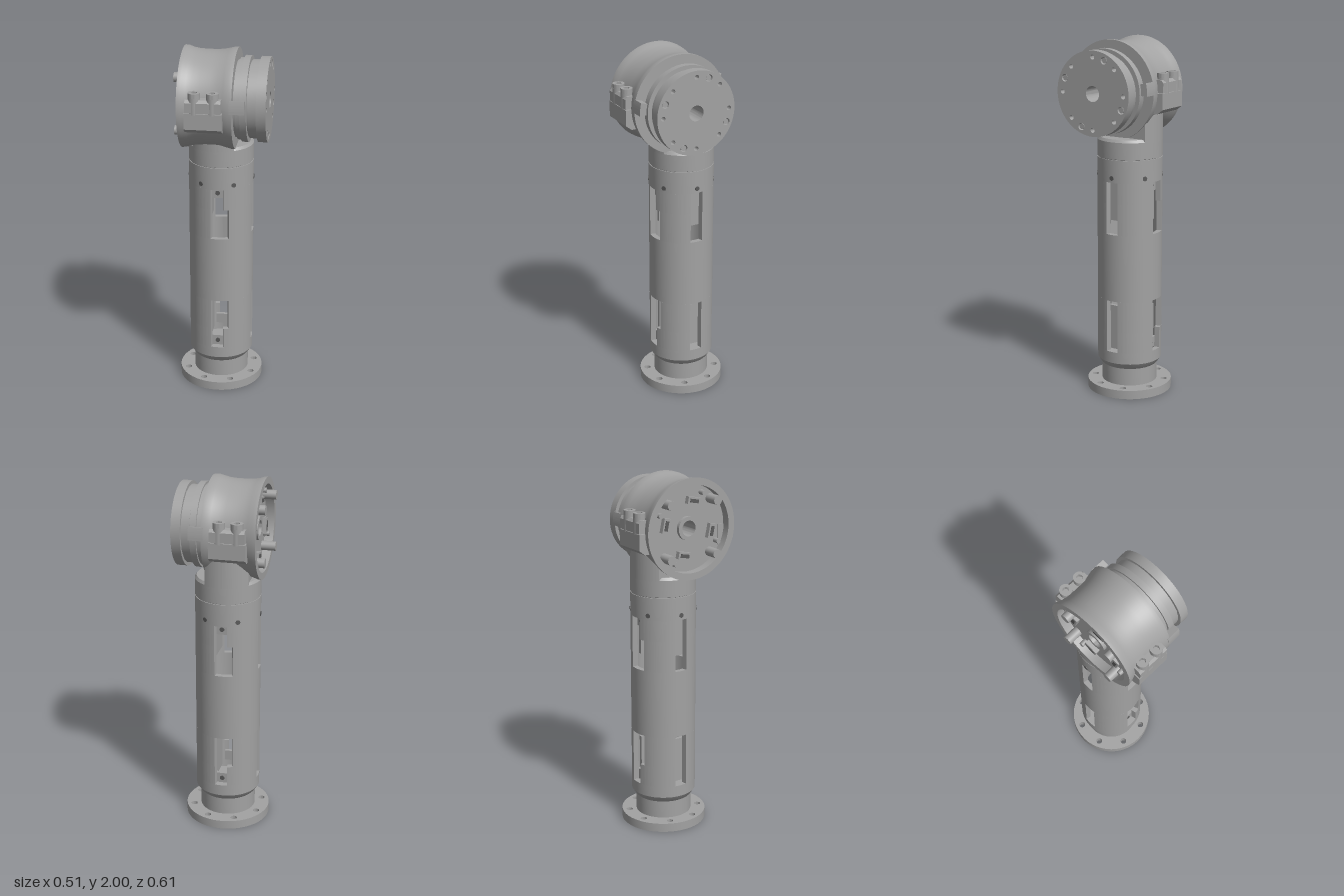
import * as THREE from 'three';
import { toCreasedNormals } from 'three/addons/utils/BufferGeometryUtils.js';

const CX = -0.017, CZ = -0.06; // column axis
const HY = 1.725;              // height of the joint axis, which runs along x

export function createModel() {
  const root = new THREE.Group();
  const metal = new THREE.MeshStandardMaterial({ color: 0xa2a2a2 });
  metal.name = 'grey metal';
  const dark = new THREE.MeshStandardMaterial({ color: 0x5a5a5a });
  dark.name = 'dark screw';

  const add = (name, geo, x = 0, y = 0, z = 0, mat = metal, parent = root) => {
    const mesh = new THREE.Mesh(geo, mat);
    mesh.name = name;
    mesh.position.set(x, y, z);
    parent.add(mesh);
    return mesh;
  };
  const extrude = (shape, depth, seg = 32) => toCreasedNormals(
    new THREE.ExtrudeGeometry(shape, { depth, bevelEnabled: false, curveSegments: seg }), 0.5);
  const upright = (shape, depth, seg) => extrude(shape, depth, seg).rotateX(-Math.PI / 2);
  const alongX = (shape, depth, seg) => extrude(shape, depth, seg).rotateY(Math.PI / 2);
  const lathe = (pts, seg = 72) => toCreasedNormals(
    new THREE.LatheGeometry(pts.map(p => new THREE.Vector2(p[0], p[1])), seg), 0.5);
  const disc = r => new THREE.Shape().absarc(0, 0, r, 0, Math.PI * 2, false);
  const hole = (shape, r, x = 0, y = 0) =>
    shape.holes.push(new THREE.Path().absarc(x, y, r, 0, Math.PI * 2, true));
  const sector = (r0, r1, a0, a1) => {
    const s = new THREE.Shape();
    s.absarc(0, 0, r1, a0, a1, false);
    s.absarc(0, 0, r0, a1, a0, true);
    s.closePath();
    return s;
  };

  // Base flange with centre bore, six inner and eight outer bolt holes
  const flange = disc(0.24);
  hole(flange, 0.065);
  for (let i = 0; i < 6; i++) {
    const a = i * Math.PI / 3;
    hole(flange, 0.03, 0.12 * Math.cos(a), 0.12 * Math.sin(a));
  }
  for (let i = 0; i < 8; i++) {
    const a = (i + 0.5) * Math.PI / 4;
    hole(flange, 0.018, 0.2 * Math.cos(a), 0.2 * Math.sin(a));
  }
  add('baseFlange', upright(flange, 0.05, 24), CX, 0, CZ);
  add('neck', lathe([[0, 0.049], [0.157, 0.049], [0.157, 0.15], [0.162, 0.155],
    [0.182, 0.185], [0.182, 0.195], [0, 0.195]]), CX, 0, CZ);

  // Column tube, built in levels with four window openings
  const R = 0.182, RI = 0.152, W = 0.2, STEP = 0.37;
  const column = new THREE.Group();
  column.name = 'columnTube';
  column.position.set(CX, 0, CZ);
  root.add(column);
  const fullRing = (y0, y1) => {
    const s = disc(R);
    hole(s, RI);
    add('tubeRing', upright(s, y1 - y0, 48), 0, y0, 0, metal, column);
  };
  const windowLevel = (y0, y1, wide) => {
    for (let k = 0; k < 4; k++) {
      const start = k * Math.PI / 2 + (wide && k % 2 ? STEP : W);
      const end = (k + 1) * Math.PI / 2 - W;
      add('tubeWall', upright(sector(RI, R, start, end), y1 - y0, 14), 0, y0, 0, metal, column);
    }
  };
  fullRing(0.19, 0.25);
  windowLevel(0.25, 0.37, false);
  windowLevel(0.37, 0.55, true);
  fullRing(0.55, 0.935);
  windowLevel(0.935, 1.11, true);
  windowLevel(1.11, 1.23, false);
  fullRing(1.23, 1.356);

  // Inner rails and screw tabs behind the windows
  for (const y of [0.36, 1.12]) for (const s of [-1, 1])
    add('innerRail', new THREE.BoxGeometry(0.02, 0.26, 0.22), s * 0.07, y, 0, metal, column);
  for (const y of [0.28, 1.2]) for (const s of [-1, 1]) {
    add('screwTab', new THREE.BoxGeometry(0.1, 0.06, 0.02), 0, y, s * 0.135, metal, column);
    add('tabScrew', new THREE.CylinderGeometry(0.013, 0.013, 0.006, 16).rotateX(Math.PI / 2),
      0, y, s * 0.147, dark, column);
  }
  // Ring of small screws below the collar
  for (let i = 0; i < 6; i++) {
    const a = i * Math.PI / 3;
    add('collarScrew', new THREE.CylinderGeometry(0.013, 0.013, 0.006, 16)
      .rotateZ(Math.PI / 2).rotateY(a), R * Math.cos(a), 1.255, -R * Math.sin(a), dark, column);
  }

  // Collar, and the part of it that rises into the joint housing
  add('collar', lathe([[0, 1.35], [0.178, 1.35], [0.178, 1.36], [0.182, 1.362],
    [0.182, 1.455], [0.172, 1.47], [0, 1.47]]), CX, 0, CZ);
  const b0 = Math.acos(0.092 / R), b1 = Math.acos(-0.14 / R);
  const rise = new THREE.Shape();
  rise.absarc(0, 0, R, b0, b1, false);
  rise.absarc(0, 0, R, -b1, -b0, false);
  rise.closePath();
  add('collarRise', upright(rise, 0.15), CX, 1.45, CZ);

  // Joint housing: waisted drum with a recessed end and a through bore
  const head = new THREE.Group();
  head.name = 'jointHead';
  head.position.y = HY;
  root.add(head);
  const turned = (name, pts) => add(name, lathe(pts, 96).rotateZ(-Math.PI / 2), 0, 0, 0, metal, head);
  turned('housing', [[0.043, -0.16], [0.24, -0.16], [0.24, -0.21], [0.278, -0.21],
    [0.276, -0.19], [0.267, -0.165], [0.261, -0.13], [0.259, -0.09], [0.259, -0.04],
    [0.262, 0], [0.27, 0.035], [0.276, 0.06], [0.276, 0.082], [0.043, 0.082], [0.043, -0.16]]);

  // Output discs
  turned('outputRings', [[0.043, 0.08], [0.21, 0.08], [0.21, 0.095], [0.222, 0.095],
    [0.222, 0.119], [0.234, 0.119], [0.234, 0.154], [0.205, 0.154], [0.205, 0.16],
    [0.213, 0.16], [0.213, 0.207], [0.043, 0.207], [0.043, 0.08]]);
  const plate = disc(0.232);
  hole(plate, 0.043);
  const bigAngles = [];
  for (let i = 0; i < 8; i++) {
    const a = i * Math.PI / 4;
    hole(plate, 0.013, 0.197 * Math.cos(a), 0.197 * Math.sin(a));
    if (i % 2) bigAngles.push(a + 0.4);
  }
  for (const a of bigAngles) hole(plate, 0.02, 0.197 * Math.cos(a), 0.197 * Math.sin(a));
  add('outputPlate', alongX(plate, 0.052, 40), 0.206, 0, 0, metal, head);
  for (const a of bigAngles)
    add('plateScrew', new THREE.CylinderGeometry(0.015, 0.015, 0.045, 16).rotateZ(Math.PI / 2),
      0.23, 0.197 * Math.sin(a), -0.197 * Math.cos(a), metal, head);

  // Side tabs, clamp lugs and bolts on both sides
  const hex = new THREE.Shape();
  hex.absarc(0, 0, 0.033, 0, Math.PI * 2, false);
  const socket = new THREE.Path();
  for (let i = 0; i < 6; i++) {
    const a = -i * Math.PI / 3;
    socket[i ? 'lineTo' : 'moveTo'](0.018 * Math.cos(a), 0.018 * Math.sin(a));
  }
  socket.closePath();
  hex.holes.push(socket);
  const block = pts => new THREE.Shape(pts.map(p => new THREE.Vector2(p[0], p[1])));
  for (const s of [1, -1]) {
    const mid = s > 0 ? Math.PI : 0; // shape x runs towards -z
    add('sideTab', alongX(sector(0.24, 0.278, mid + (s > 0 ? -0.24 : -0.02),
      mid + (s > 0 ? 0.02 : 0.24)), 0.08, 8), 0.07, 0, 0, metal, head);
    const lower = [[0.2, -0.115], [0.27, -0.115], [0.303, -0.09], [0.303, -0.003], [0.2, -0.003]];
    const upper = [[0.2, 0], [0.303, 0], [0.303, 0.055], [0.29, 0.07], [0.2, 0.07]];
    const flip = pts => block(pts.map(p => [-s * p[0], p[1]]));
    add('lowerLug', alongX(flip(lower), 0.2), -0.165, 0, 0, metal, head);
    add('upperLug', alongX(flip(upper), 0.19), -0.16, 0, 0, metal, head);
    for (const x of [-0.114, -0.017]) {
      add('boltSeat', new THREE.CylinderGeometry(0.033, 0.033, 0.09, 28), x, 0.035, s * 0.272, metal, head);
      add('boltHead', upright(hex, 0.025, 20), x, 0.08, s * 0.272, metal, head);
    }
  }

  // Fittings inside the recessed end: boss, pegs and small blocks
  turned('bearingBoss', [[0.043, -0.18], [0.065, -0.18], [0.065, -0.155],
    [0.043, -0.155], [0.043, -0.18]]);
  for (const sy of [-1, 1]) for (const sz of [-1, 1])
    add('peg', new THREE.CylinderGeometry(0.026, 0.026, 0.085, 24).rotateZ(Math.PI / 2),
      -0.1975, sy * 0.147, sz * 0.147, metal, head);
  for (let i = 0; i < 4; i++) {
    const cluster = new THREE.Group();
    cluster.name = 'endFitting';
    cluster.rotation.x = i * Math.PI / 2 + 0.2;
    head.add(cluster);
    add('connector', new THREE.BoxGeometry(0.035, 0.04, 0.08), -0.17, 0.15, 0, metal, cluster);
    add('connectorSlot', new THREE.BoxGeometry(0.006, 0.02, 0.055), -0.187, 0.15, 0, dark, cluster);
    add('standoff', new THREE.CylinderGeometry(0.014, 0.014, 0.04, 16).rotateZ(Math.PI / 2),
      -0.175, 0.2, 0.05, metal, cluster);
  }
  return root;
}
